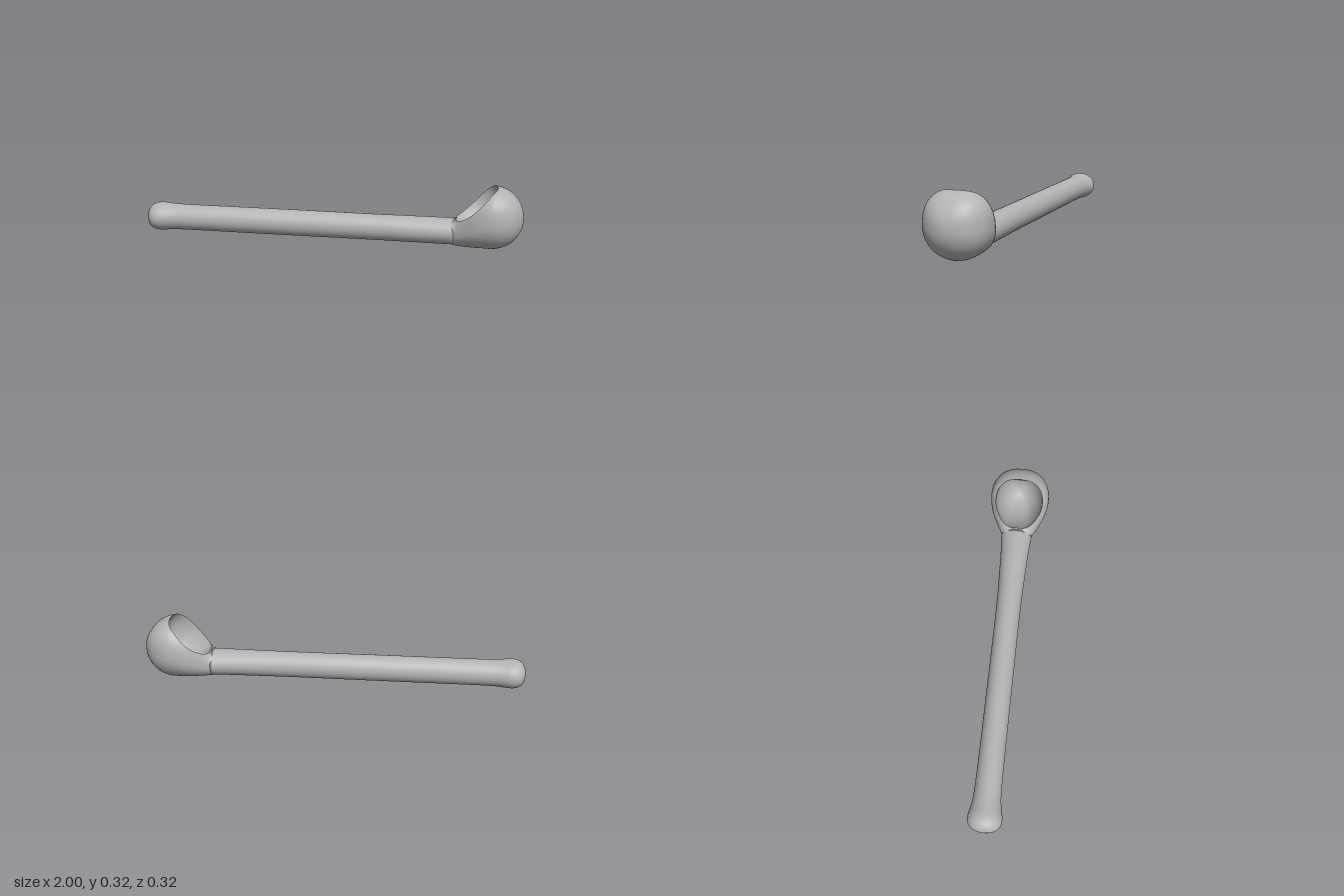
import * as THREE from 'three';
import { mergeVertices } from 'three/addons/utils/BufferGeometryUtils.js';

// Skin a list of equally long rows of points; coincident points are welded for smooth normals
function skin(rows) {
  const n = rows[0].length, index = [];
  for (let i = 0; i < rows.length - 1; i++) {
    for (let j = 0; j < n - 1; j++) {
      const a = i * n + j, b = a + n;
      index.push(a, a + 1, b, b, a + 1, b + 1);
    }
  }
  const g = new THREE.BufferGeometry().setFromPoints(rows.flat());
  g.setIndex(index);
  const welded = mergeVertices(g, 1e-4);
  welded.computeVertexNormals();
  return welded;
}

// Smoothly resample a table whose first column is x
function resample(table, count) {
  const curves = table[0].map((_, c) => new THREE.SplineCurve(table.map((r, i) => new THREE.Vector2(i, r[c]))));
  return Array.from({ length: count + 1 }, (_, i) => curves.map((k) => k.getPoint(i / count).y));
}

// Handle: x, half width, half height
function handleGeometry() {
  const table = [
    [-1, 0, 0], [-0.995, 0.035, 0.032], [-0.98, 0.066, 0.058], [-0.955, 0.084, 0.071], [-0.92, 0.088, 0.075],
    [-0.87, 0.078, 0.071], [-0.8, 0.07, 0.069], [-0.6, 0.067, 0.069], [-0.2, 0.066, 0.069], [0.2, 0.066, 0.068],
    [0.4, 0.071, 0.068], [0.55, 0.077, 0.068], [0.65, 0.085, 0.067],
  ];
  const rows = resample(table, 60).map(([x, w, h]) => Array.from({ length: 41 }, (_, j) => {
    const a = (j / 40) * Math.PI * 2;
    return new THREE.Vector3(x, 0.079 - h * Math.cos(a), w * Math.sin(a));
  }));
  rows.push(rows.at(-1).map((p) => new THREE.Vector3(p.x, 0.079, 0)));
  return skin(rows);
}

// Scoop sections: x, half width, centre height, lower height, upper height, rim height
function scoopRows() {
  const table = [
    [0.635, 0.076, 0.078, 0.066, 0.064, 0.148],
    [0.66, 0.088, 0.081, 0.074, 0.067, 0.146],
    [0.7, 0.112, 0.1, 0.095, 0.1, 0.168],
    [0.75, 0.14, 0.125, 0.121, 0.14, 0.21],
    [0.8, 0.156, 0.148, 0.145, 0.158, 0.265],
    [0.84, 0.16, 0.16, 0.158, 0.162, 0.305],
  ];
  for (let i = 1; i <= 8; i++) {
    const a = (i / 8) * Math.PI / 2, s = Math.cos(a);
    table.push([0.84 + 0.16 * Math.sin(a), 0.16 * s, 0.16, 0.158 * s, 0.162 * s, 0.305 + 0.02 * i]);
  }
  return resample(table, 78).map(([x, w, yc, lo, hi, rim]) => {
    // Squarish upper half, cut off at the rim
    const e = 2 / 2.6;
    const cut = hi > 1e-4 ? Math.min(1, (rim - yc) / hi) : 1;
    const end = Math.PI - Math.acos(Math.pow(cut, 1 / e));
    const row = Array.from({ length: 49 }, (_, j) => {
      const a = (j / 24 - 1) * end, s = Math.sin(a), c = Math.cos(a);
      if (c >= 0) return new THREE.Vector3(x, yc - lo * c, w * s);
      return new THREE.Vector3(x, yc + hi * Math.pow(-c, e), w * Math.sign(s) * Math.pow(Math.abs(s), e));
    });
    return { row, open: cut < 0.9999 };
  });
}

// Hollow: rings shrinking from the rim loop to the deepest point
function hollowGeometry(sections) {
  const open = sections.filter((s) => s.open).map((s) => s.row);
  const rim = [...open.map((r) => r[0]), ...open.map((r) => r.at(-1)).reverse()];
  rim.push(rim[0]);
  const centre = new THREE.Vector3(0.78, 0.22, 0), depth = new THREE.Vector3(0.14, -0.14, 0);
  const rows = [];
  for (let i = 0; i <= 20; i++) {
    const a = (i / 20) * Math.PI / 2;
    rows.push(rim.map((p) => p.clone().sub(centre).multiplyScalar(Math.cos(a))
      .add(centre).addScaledVector(depth, Math.sin(a))));
  }
  return skin(rows);
}

export function createModel() {
  const group = new THREE.Group();
  const grey = new THREE.MeshStandardMaterial({ color: 0xb4b4b4, side: THREE.DoubleSide });
  grey.name = 'grey';
  const add = (name, geometry) => {
    const mesh = new THREE.Mesh(geometry, grey);
    mesh.name = name;
    group.add(mesh);
  };
  const sections = scoopRows();
  add('handle', handleGeometry());
  add('scoopShell', skin(sections.map((s) => s.row)));
  add('scoopHollow', hollowGeometry(sections));
  return group;
}
